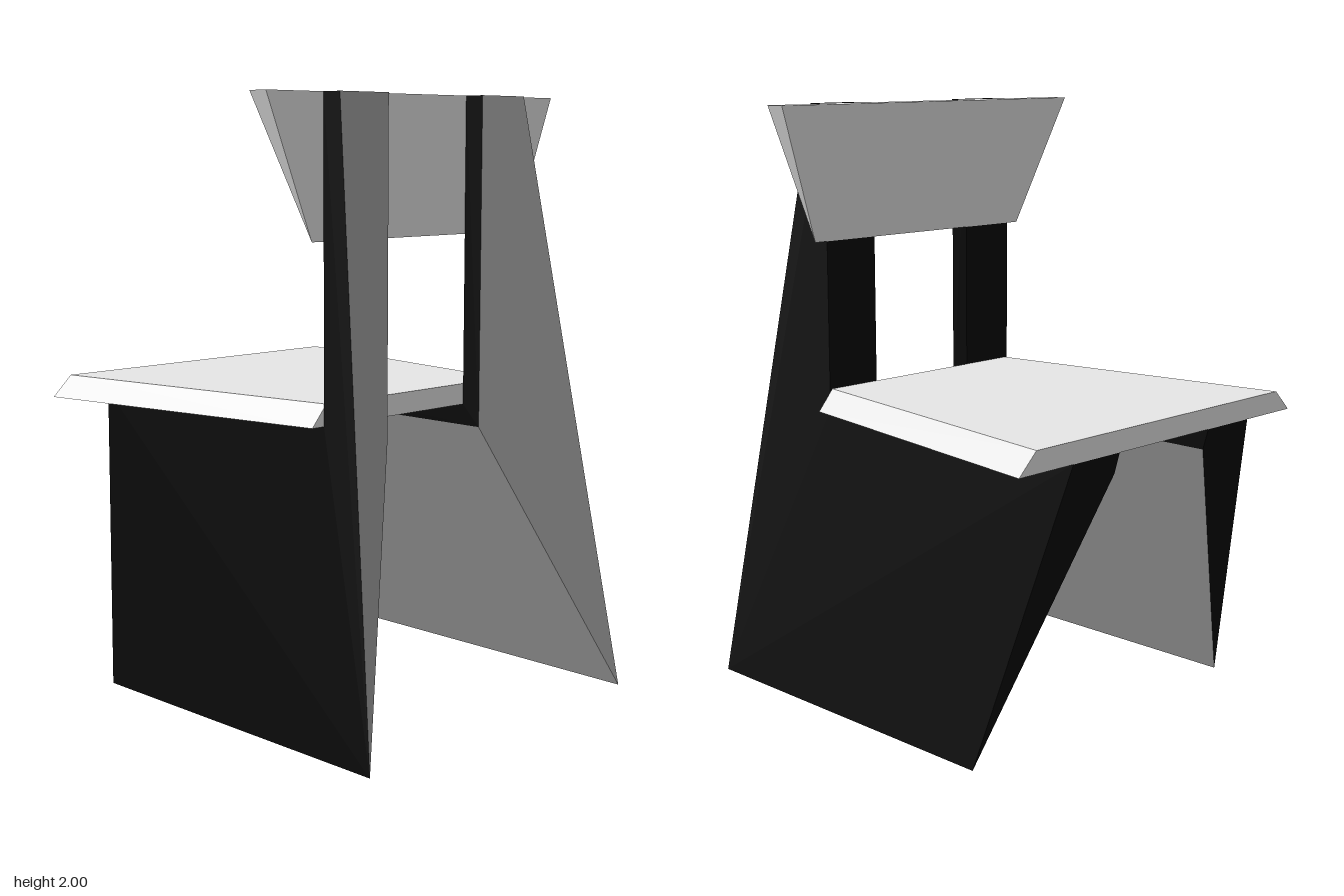
import * as THREE from 'three';

const pale = new THREE.MeshStandardMaterial({ name: 'paleGrey', color: 0xe7e7e7 });
const grey = new THREE.MeshStandardMaterial({ name: 'midGrey', color: 0xa4a4a4 });
const black = new THREE.MeshStandardMaterial({ name: 'black', color: 0x070707 });

// Mirror across x, keeping the first corner first so the fan folds match
const flip = ([x, y, z]) => [-x, y, z];
const mirrorFace = ([first, ...rest]) => [first, ...rest.reverse()].map(flip);

// Flat panels: each face is a fan of triangles sharing one average normal
function panels(name, faces, material) {
  const positions = [];
  const normals = [];
  for (const face of faces) {
    const p = face.map((c) => new THREE.Vector3(...c));
    const triangles = [];
    const normal = new THREE.Vector3();
    for (let i = 1; i < p.length - 1; i++) {
      triangles.push(p[0], p[i], p[i + 1]);
      normal.add(p[i].clone().sub(p[0]).cross(p[i + 1].clone().sub(p[0])));
    }
    normal.normalize();
    for (const v of triangles) {
      positions.push(v.x, v.y, v.z);
      normals.push(normal.x, normal.y, normal.z);
    }
  }
  const geometry = new THREE.BufferGeometry();
  geometry.setAttribute('position', new THREE.Float32BufferAttribute(positions, 3));
  geometry.setAttribute('normal', new THREE.Float32BufferAttribute(normals, 3));
  const mesh = new THREE.Mesh(geometry, material);
  mesh.name = name;
  return mesh;
}

// Symmetric board spanning from a section on the +x end to its mirror image
function board(name, section, material) {
  const sides = section.map((a, i) => {
    const b = section[(i + 1) % section.length];
    return [a, flip(a), flip(b), b];
  });
  return panels(name, [section, mirrorFace(section), ...sides], material);
}

// Leg and back post in one solid: black cut sides, grey rear and underside
function leg(name, mirrored) {
  const footRear = [0.613, 0, 0.74], footFront = [0.613, 0, -0.5];
  const seatFrontOut = [0.43, 0.98, -0.74], seatFrontIn = [0.22, 0.98, -0.74];
  const seatRearOut = [0.43, 0.98, 0.36], seatRearIn = [0.22, 0.98, 0.36];
  const topFrontOut = [0.43, 2, 0.36], topFrontIn = [0.22, 2, 0.36];
  const topRearOut = [0.43, 2, 0.43], topRearIn = [0.22, 2, 0.43];
  const kneeRear = [0.22, 0.91, 0.43], kneeFront = [0.22, 0.91, -0.72];

  const cut = [
    [footRear, footFront, seatFrontOut, seatRearOut, topFrontOut, topRearOut], // outer side
    [kneeRear, topRearIn, topFrontIn, seatRearIn, seatFrontIn, kneeFront], // inner side
    [footFront, kneeFront, seatFrontIn, seatFrontOut], // end under the seat edge
    [topRearOut, topFrontOut, topFrontIn, topRearIn], // post top
    [topFrontOut, seatRearOut, seatRearIn, topFrontIn], // post face
    [seatFrontOut, seatFrontIn, seatRearIn, seatRearOut], // ledge below the seat
  ];
  const faced = [
    [topRearOut, topRearIn, kneeRear, footRear], // rear
    [footRear, kneeRear, kneeFront, footFront], // sloping underside
  ];
  const side = (faces) => (mirrored ? faces.map(mirrorFace) : faces);

  const group = new THREE.Group();
  group.name = name;
  group.add(panels('legSides', side(cut), black));
  group.add(panels('legFacing', side(faced), grey));
  return group;
}

export function createModel() {
  const model = new THREE.Group();
  model.name = 'chair';

  model.add(leg('leftLeg', false), leg('rightLeg', true));

  // Tapered seat with bevelled sides
  model.add(board('seat', [
    [0.48, 0.98, 0.36], [0.663, 0.98, -0.74], [0.59, 1.05, -0.74], [0.42, 1.05, 0.36],
  ], pale));

  // Wedge backrest, thick at the top and thinning to its lower edge
  model.add(board('backrest', [
    [0.48, 1.55, 0.36], [0.663, 2, 0.288], [0.663, 2, 0.36],
  ], pale));

  return model;
}
